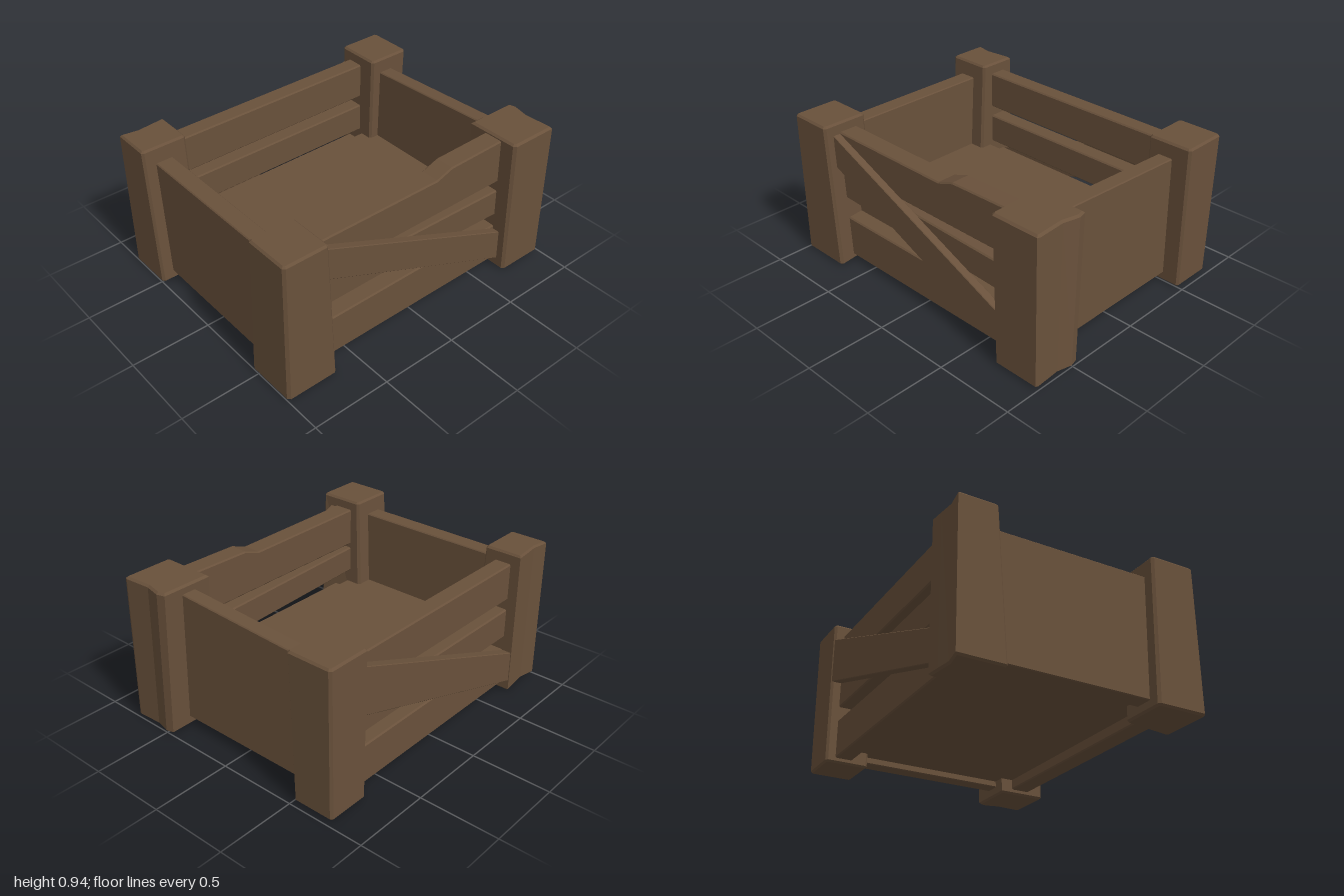
import * as THREE from 'three';

const wood = new THREE.MeshStandardMaterial({ color: 0x69513b });
wood.name = 'brown wood';

// Extrudes a 2D outline with a narrow chamfer; the outline and depth stay the outer size
function chamfered(points, depth, bevel) {
  const shape = new THREE.Shape(points.map(([x, y]) => new THREE.Vector2(x, y)));
  const geo = new THREE.ExtrudeGeometry(shape, {
    depth: depth - 2 * bevel, bevelEnabled: true, bevelThickness: bevel,
    bevelSize: bevel, bevelOffset: -bevel, bevelSegments: 1,
  });
  geo.translate(0, 0, bevel);
  return geo;
}

function addMesh(group, name, geo) {
  const mesh = new THREE.Mesh(geo, wood);
  mesh.name = name;
  group.add(mesh);
}

// Tapered corner post: rectangles are [x0, x1, z0, z1], outline is in 0..1 coordinates,
// skew pulls in the low-x, low-z corner of the foot
function postGeometry(bottom, top, outline, skew = 0) {
  const unit = outline.map(([u, v]) => [u * 0.3, -v * 0.3]).reverse();
  const geo = chamfered(unit, 0.935, 0.012);
  geo.rotateX(-Math.PI / 2);
  const pos = geo.attributes.position;
  const lerp = THREE.MathUtils.lerp;
  for (let i = 0; i < pos.count; i++) {
    const u = pos.getX(i) / 0.3, v = pos.getZ(i) / 0.3, t = pos.getY(i) / 0.935;
    const r = bottom.map((b, k) => lerp(b, top[k], t));
    const z0 = r[2] + skew * (1 - u) * (1 - t);
    pos.setXYZ(i, lerp(r[0], r[1], u), pos.getY(i) + 0.005, lerp(z0, r[3], v));
  }
  geo.computeVertexNormals();
  return geo;
}

// Board whose outline is in (z, y), with thickness from x0 to x1
function sideBoard(points, x0, x1, bevel = 0.008) {
  const geo = chamfered(points.map(([z, y]) => [-z, y]), x1 - x0, bevel);
  geo.rotateY(Math.PI / 2);
  geo.translate(x0, 0, 0);
  return geo;
}

// Panel whose outline is in (x, y), with thickness from z0 to z1
function endPanel(points, z0, z1, bevel = 0.006) {
  const geo = chamfered(points, z1 - z0, bevel);
  geo.translate(0, 0, z0);
  return geo;
}

export function createModel() {
  const crate = new THREE.Group();
  crate.name = 'crate';

  // Corner posts, two of them with worn faces
  const c = 0.05;
  const plain = [[c, 0], [1 - c, 0], [1, c], [1, 1 - c], [1 - c, 1], [c, 1], [0, 1 - c], [0, c]];
  const dentedSide = [[0, 0], [1 - c, 0], [1, c], [1, 1 - c], [1 - c, 1], [0, 1], [0.07, 0.62], [0.03, 0.3]];
  const dentedBack = [[0, 0.04], [0.15, 0], [0.45, 0.07], [1 - c, 0.04], [1, 0.06], [1, 1 - c], [1 - c, 1], [0, 1]];
  addMesh(crate, 'frontLeftPost', postGeometry([0.443, 0.772, 0.66, 1], [0.475, 0.772, 0.71, 0.998], plain, 0.045));
  addMesh(crate, 'frontRightPost', postGeometry([-0.775, -0.48, 0.708, 1], [-0.775, -0.53, 0.71, 1], dentedSide));
  addMesh(crate, 'backLeftPost', postGeometry([0.46, 0.772, -1, -0.678], [0.427, 0.772, -0.992, -0.653], dentedBack));
  addMesh(crate, 'backRightPost', postGeometry([-0.772, -0.5, -0.965, -0.69], [-0.777, -0.48, -0.973, -0.685], plain));

  // Solid end panels
  addMesh(crate, 'frontPanel', endPanel(
    [[-0.6, 0.06], [0.6, 0.06], [0.6, 0.836], [-0.6, 0.836]], 0.81, 0.922));
  addMesh(crate, 'backPanel', endPanel(
    [[-0.6, 0.06], [0.55, 0.06], [0.55, 0.896], [-0.6, 0.836]], -0.853, -0.755));

  // Thick floor, leaving a narrow gap on one side
  const floor = endPanel([[-0.578, 0.1], [0.56, 0.1], [0.56, 0.35], [-0.578, 0.35]], -0.79, 0.83, 0.012);
  addMesh(crate, 'floor', floor);

  // Side slats: outlines in (z, y), front to back
  const f = 0.84, b = -0.84;
  const leftSlats = [
    [[f, 0.036], [b, 0.036], [b, 0.302], [f, 0.302]],
    [[f, 0.44], [b, 0.378], [b, 0.562], [f, 0.608]],
    [[f, 0.632], [b, 0.632], [b, 0.925], [-0.26, 0.912], [-0.15, 0.873], [f, 0.878]],
  ];
  const rightSlats = [
    [[f, 0.036], [b, 0.036], [b, 0.285], [f, 0.285]],
    [[f, 0.372], [b, 0.372], [b, 0.565], [f, 0.565]],
    [[f, 0.632], [b, 0.632], [b, 0.87], [f, 0.87]],
  ];
  leftSlats.forEach((s, i) => addMesh(crate, `leftSlat${i + 1}`, sideBoard(s, 0.537, 0.665)));
  rightSlats.forEach((s, i) => addMesh(crate, `rightSlat${i + 1}`, sideBoard(s, -0.712, -0.6)));

  // Diagonal braces outside the slats, running opposite ways; the right one tapers
  const leftBrace = [[0.75, 0.68], [-0.75, 0.04], [-0.75, 0.245], [0.75, 0.885]];
  const rightBrace = [[0.75, 0.065], [-0.75, 0.555], [-0.75, 0.855], [0.75, 0.265]];
  addMesh(crate, 'leftBrace', sideBoard(leftBrace, 0.66, 0.712, 0.004));
  addMesh(crate, 'rightBrace', sideBoard(rightBrace, -0.77, -0.708, 0.004));

  return crate;
}
